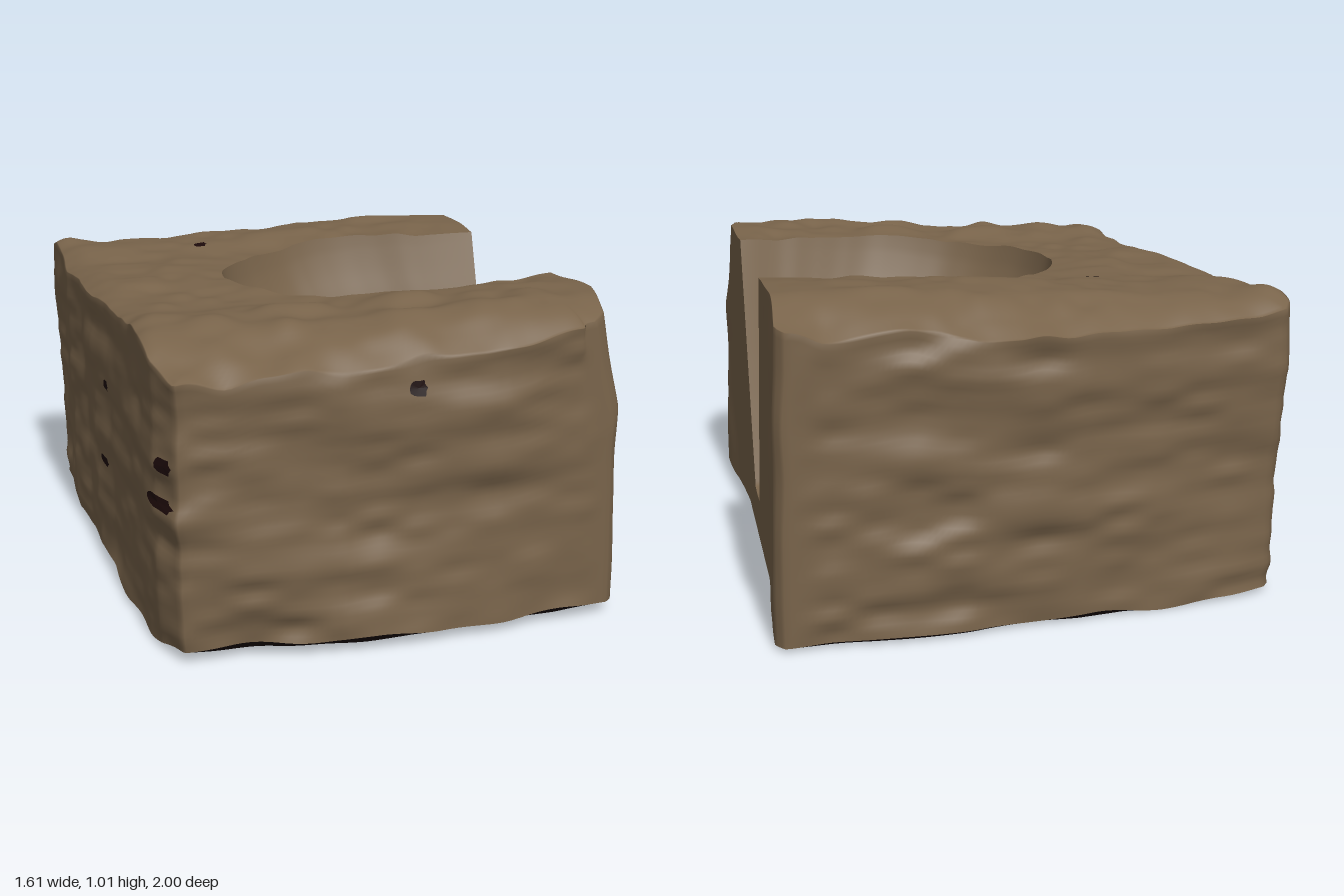
import * as THREE from 'three';

const V = (x, y, z) => new THREE.Vector3(x, y, z);
const { lerp, smoothstep } = THREE.MathUtils;

// Seedless smooth value noise in the range -1..1
function hash(i, j, k) {
  const s = Math.sin(i * 127.1 + j * 311.7 + k * 74.7) * 43758.5453;
  return (s - Math.floor(s)) * 2 - 1;
}
function noise(x, y, z) {
  const [i, j, k] = [x, y, z].map(Math.floor);
  const [a, b, c] = [x - i, y - j, z - k].map((t) => t * t * (3 - 2 * t));
  const row = (dj, dk) => lerp(hash(i, j + dj, k + dk), hash(i + 1, j + dj, k + dk), a);
  return lerp(lerp(row(0, 0), row(1, 0), b), lerp(row(0, 1), row(1, 1), b), c);
}

// Surface through rows of points; normal is (along row) x (towards next row)
function loft(rows) {
  const n = rows[0].length, index = [];
  for (let j = 0; j < rows.length - 1; j++) {
    for (let i = 0; i < n - 1; i++) {
      const a = j * n + i, b = a + 1, c = a + n, d = c + 1;
      index.push(a, b, d, a, d, c);
    }
  }
  const g = new THREE.BufferGeometry().setFromPoints(rows.flat());
  g.setIndex(index);
  g.computeVertexNormals();
  return g;
}

const curve = (pts, tension) =>
  new THREE.CatmullRomCurve3(pts.map(([x, z]) => V(x, 0, z)), false, 'catmullrom', tension);

// Plan of the block, from one side of the notch all the way round to the other
const outline = curve([
  [0.755, -0.43], [0.765, -0.7], [0.775, -0.95], [0.75, -0.985], [0.2, -0.99], [-0.14, -0.97],
  [-0.42, -0.92], [-0.77, -0.875], [-0.8, -0.84], [-0.785, -0.7], [-0.785, -0.4], [-0.745, -0.2],
  [-0.735, 0], [-0.7, 0.2], [-0.675, 0.5], [-0.66, 0.74], [-0.645, 0.86], [-0.59, 0.975],
  [-0.1, 0.985], [0.4, 0.945], [0.76, 0.895], [0.79, 0.86], [0.77, 0.6], [0.755, 0.36]], 0);
// Upper rim of the basin and the edge of its floor
const rim = curve([
  [0.755, -0.43], [0.55, -0.445], [0.25, -0.49], [0, -0.425], [-0.2, -0.25], [-0.28, -0.03],
  [-0.22, 0.2], [-0.05, 0.375], [0.2, 0.46], [0.36, 0.455], [0.58, 0.41], [0.755, 0.36]], 0.5);
const floorEdge = curve([
  [0.755, -0.11], [0.55, -0.125], [0.4, -0.115], [0.29, -0.06], [0.26, 0], [0.3, 0.06],
  [0.42, 0.08], [0.755, 0.05]], 0.5);

const N = 320;
const sample = (c) => c.getSpacedPoints(N);

// The sawn +x face is smooth, the others are rough
const rough = (x) => 1 - smoothstep(x, 0.62, 0.74);

function wallPoint(p, y) {
  const { x, z } = p;
  const r = rough(x);
  const f = 0.015 * noise(x * 3 + 5, y * 11, z * 3)
    + 0.008 * noise(x * 8, y * 22, z * 8) + 0.018 * noise(x * 2.2, y * 2.5 + 9, z * 2.2);
  const k = 1 + r * (f - 0.002);
  // Sawn face leans in at the top, with a slanting chip at its front corner
  const lean = smoothstep(Math.abs(z), 0.45, 0.9)
    * (0.03 * (0.5 - y) + 0.006 * noise(1, y * 6, z * 5));
  const chip = 0.3 * Math.max(0, z - 0.9 + (y - 0.6) * 0.62);
  return V(x * k + (1 - r) * (lean - chip), y, z * k);
}

// Height of the top; d is the distance to the block's outer edge
function topHeight(x, z, d) {
  const r = rough(x);
  const worn = 0.025 * r * Math.max(0, 1 - d / 0.11) ** 2;
  const shoulder = z > 0 ? 0.085 * smoothstep(z, 0.72, 1.02) : 0.075 * smoothstep(-z, 0.76, 1.02);
  const bumps = 0.013 * noise(x * 5, 3, z * 5) + 0.007 * noise(x * 13, 7, z * 13);
  const chips = 0.016 * smoothstep(z, 0.45, 0.65) * noise(x * 9, 11, z * 9);
  return 0.948 + 0.042 * smoothstep(x, -0.4, 0.7) + 0.014 * smoothstep(Math.abs(z), 0.4, 0.6)
    + (bumps + chips) * r - worn - shoulder;
}

const baseHeight = (p) =>
  0.012 + 0.03 * smoothstep(p.z, 0.7, 0.95) + 0.014 * noise(p.x * 5, 2, p.z * 5) * rough(p.x);

export function createModel() {
  const group = new THREE.Group();
  const stone = new THREE.MeshStandardMaterial({ color: 0x78634a });
  stone.name = 'brown stone';
  const dark = new THREE.MeshStandardMaterial({ color: 0x1c0a0a });
  dark.name = 'dark hollow';
  dark.side = THREE.DoubleSide;
  const add = (name, geometry, material) => {
    const m = new THREE.Mesh(geometry, material);
    m.name = name;
    group.add(m);
  };

  const outer = sample(outline), inner = sample(rim), foot = sample(floorEdge);

  // Rough walls running over the worn edge into the top
  const shell = [];
  const ROWS = 44, TOP = 34;
  for (let j = 0; j <= ROWS; j++) {
    shell.push(outer.map((p) =>
      wallPoint(p, lerp(baseHeight(p), topHeight(p.x, p.z, 0), j / ROWS))));
  }
  const edge = shell[ROWS];
  for (let j = 1; j <= TOP; j++) {
    const t = (j / TOP) ** 1.4;
    shell.push(edge.map((e, i) => {
      const q = V(e.x, 0, e.z).lerp(inner[i], t);
      q.y = topHeight(q.x, q.z, Math.hypot(q.x - e.x, q.z - e.z));
      return q;
    }));
  }
  add('blockWallsAndTop', loft(shell), stone);

  // Basin with faint terraces, open towards +x
  const basin = [shell[shell.length - 1]];
  const STEPS = 44;
  for (let j = 1; j <= STEPS; j++) {
    const t = j / STEPS;
    basin.push(basin[0].map((p, i) => {
      const u = i / N, round = Math.sin(Math.PI * u);
      const q = p.clone().lerp(foot[i], t);
      const terrace = 0.006 * round * Math.sin(t * 34 + u * 9) * Math.sin(Math.PI * t);
      q.y = lerp(p.y, 0.165, t ** (1 - 0.3 * round)) + terrace;
      return q;
    }));
  }
  basin.push(basin[STEPS].map((p) => V(Math.max(p.x, 0.4), 0.16, -0.025)));
  add('basin', loft(basin), stone);

  // Sawn face below the V-shaped notch
  const notchTop = [
    ...basin.map((r) => r[N]),
    ...basin.map((r) => r[0]).reverse()];
  const notchBase = notchTop.map((p) => V(p.x, baseHeight(p), p.z));
  add('notchFace', loft([notchBase, notchTop]), stone);

  // Dark underside with an undercut lip
  const lip = [...shell[0], ...notchBase];
  const sole = lip.map((p) => V(p.x * 0.97, 0, p.z * (p.z > 0 ? 0.92 : 0.97)));
  add('underside', loft([sole.map(() => V(0, 0, 0)), sole, lip]), dark);

  // Small dark pits as thin patches that follow the surface
  const pit = (name, place, rx, ry) => {
    const ring = [], centre = [];
    for (let i = 0; i <= 14; i++) {
      const a = (i / 14) * Math.PI * 2, k = 1 + 0.2 * hash(i % 14, 4, 2);
      ring.push(place(Math.cos(a) * rx * k, Math.sin(a) * ry * k));
      centre.push(place(0, 0));
    }
    add(name, loft([centre, ring]), dark);
  };
  const wallPit = (name, x, y, z, rx, ry) => {
    let best = 0;
    outer.forEach((p, i) => {
      if (Math.hypot(p.x - x, p.z - z) < Math.hypot(outer[best].x - x, outer[best].z - z)) best = i;
    });
    const length = outline.getLength();
    pit(name, (s, t) => {
      const q = wallPoint(outline.getPointAt(best / N + s / length), y + t);
      return V(q.x * 1.008, q.y, q.z * 1.008);
    }, rx, ry);
  };
  wallPit('frontPit', 0.11, 0.8, 0.96, 0.026, 0.026);
  wallPit('sidePitUpper', -0.7, 0.65, 0.2, 0.03, 0.018);
  wallPit('sidePitLower', -0.72, 0.36, 0.1, 0.05, 0.016);
  wallPit('sidePitCorner', -0.615, 0.61, 0.925, 0.04, 0.025);
  wallPit('sideSlot', -0.635, 0.49, 0.88, 0.08, 0.02);
  pit('topPit', (s, t) => {
    const x = -0.28 + s, z = -0.52 + t;
    return V(x, topHeight(x, z, 1) + 0.006, z);
  }, 0.022, 0.022);

  return group;
}
